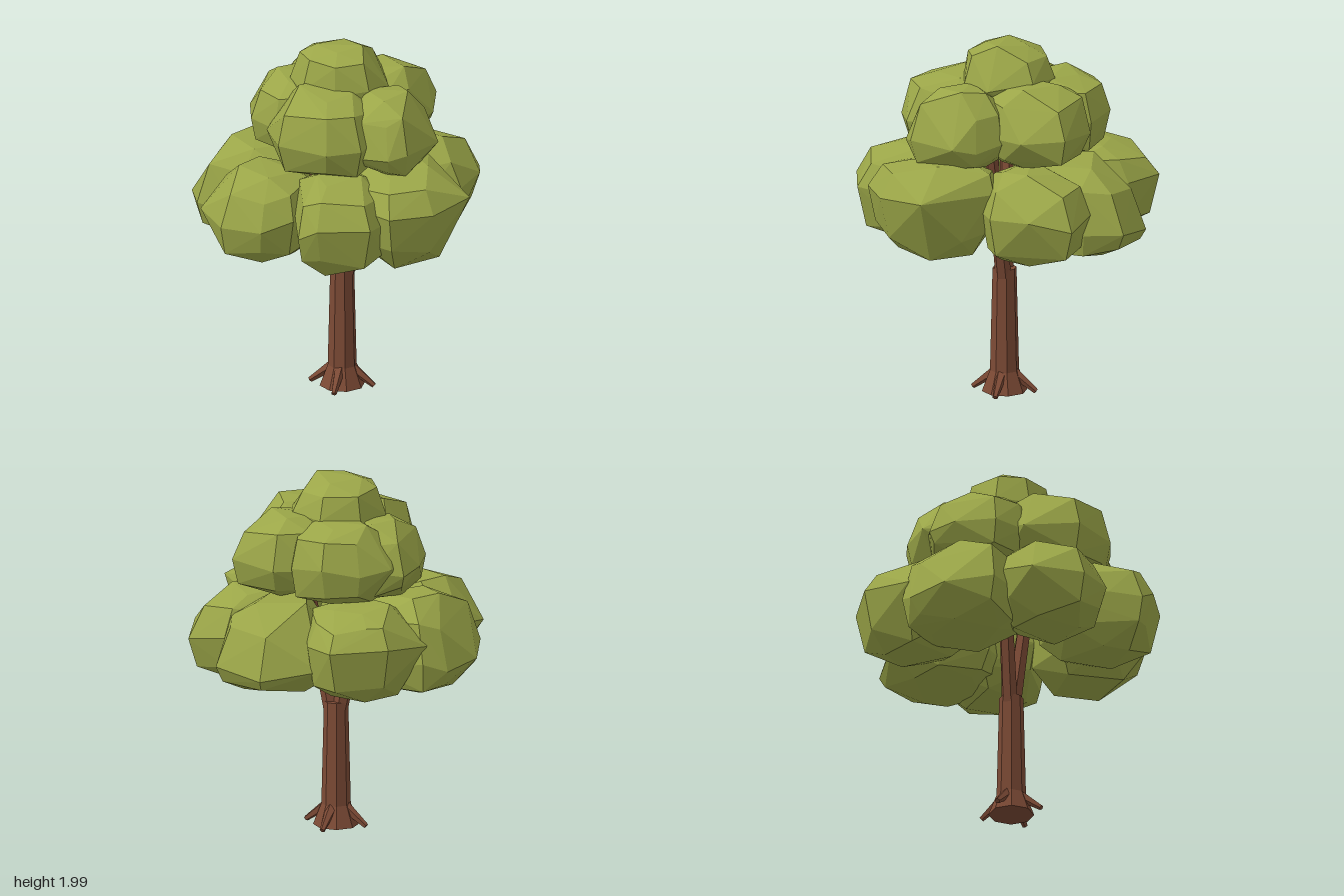
import * as THREE from 'three';
import { ConvexGeometry } from 'three/addons/geometries/ConvexGeometry.js';

// Seeded random number in -1..1
function makeRandom(seed) {
  let s = seed;
  return () => {
    s = (s * 16807) % 2147483647;
    return (s / 2147483647) * 2 - 1;
  };
}

// Faceted leaf clump: an outline in x,z swept from bottom to top through a domed profile.
// mid is the height of the widest ring; upper rings lean in towards the tree axis.
function leafClump(outline, bottom, mid, top, rand) {
  const cx = outline.reduce((a, p) => a + p[0], 0) / outline.length;
  const cz = outline.reduce((a, p) => a + p[1], 0) / outline.length;
  const rings = [ // height, scale, vertex step, lean
    [bottom, 0.58, 2, 0.04],
    [bottom + (mid - bottom) * 0.35, 0.87, 1, 0],
    [mid, 1, 1, 0],
    [mid + (top - mid) * 0.64, 0.84, 1, 0.05],
    [top, 0.48, 2, 0.13],
  ];
  const points = [];
  rings.forEach(([y, scale, step, lean], r) => {
    for (let i = r % 2; i < outline.length; i += step) {
      const s = r === 2 ? 1 : scale * (1 + 0.06 * rand());
      let dy = 0.03 * rand();
      if (r === 0) dy = Math.abs(dy) * 0.5;
      if (r === 4) dy = i === 0 ? 0 : -Math.abs(dy);
      points.push(new THREE.Vector3(
        cx * (1 - lean) + (outline[i][0] - cx) * s,
        y + dy,
        cz * (1 - lean) + (outline[i][1] - cz) * s));
    }
  });
  return new ConvexGeometry(points);
}

// Tapered straight limb between two points
function limb(a, b, ra, rb, sides, material, name) {
  const from = new THREE.Vector3(...a), to = new THREE.Vector3(...b);
  const dir = to.clone().sub(from);
  const mesh = new THREE.Mesh(
    new THREE.CylinderGeometry(rb, ra, dir.length(), sides), material);
  mesh.position.copy(from).add(to).multiplyScalar(0.5);
  mesh.quaternion.setFromUnitVectors(new THREE.Vector3(0, 1, 0), dir.normalize());
  mesh.name = name;
  return mesh;
}

export function createModel() {
  const tree = new THREE.Group();
  tree.name = 'tree';
  const bark = new THREE.MeshStandardMaterial({ color: 0x7c4a35, flatShading: true });
  bark.name = 'bark';
  const leaves = new THREE.MeshStandardMaterial({ color: 0x9ba648, flatShading: true });
  leaves.name = 'leaves';
  const tx = 0.035; // trunk axis

  // Trunk with flared foot
  const profile = [[0, 0.012], [0.125, 0.012], [0.08, 0.13], [0.066, 0.71], [0, 0.71]]
    .map(([r, y]) => new THREE.Vector2(r, y));
  const trunk = new THREE.Mesh(new THREE.LatheGeometry(profile, 8, Math.PI / 8), bark);
  trunk.position.x = tx;
  trunk.name = 'trunk';
  tree.add(trunk);

  // Forked branches
  tree.add(limb([0.012, 0.67, 0], [-0.16, 1.5, 0.03], 0.045, 0.035, 6, bark, 'leftFork'));
  tree.add(limb([0.062, 0.67, 0], [0.25, 1.5, 0.03], 0.045, 0.035, 6, bark, 'rightFork'));

  // Four roots
  const roots = new THREE.Group();
  roots.name = 'roots';
  for (let i = 0; i < 4; i++) {
    const a = i * Math.PI / 2 + 0.06;
    const c = Math.cos(a), s = Math.sin(a);
    roots.add(limb([tx + 0.05 * c, 0.12, 0.05 * s], [tx + 0.18 * c, 0.02, 0.18 * s],
      0.032, 0.015, 5, bark, 'root'));
  }
  tree.add(roots);

  // Foliage tiers: [bottom, widest, top, outline]
  const tiers = {
    lowerFoliage: [
      [0.9, 1.26, 1.42, [[0.8, 0.29], [0.65, 0.55], [0.43, 0.67], [0.22, 0.54], [0.12, 0.25], [0.3, -0.02], [0.54, -0.06], [0.64, 0.08]]],
      [0.9, 1.18, 1.42, [[-0.1, 0.62], [-0.05, 0.8], [0.06, 0.82], [0.34, 0.75], [0.4, 0.5], [0.3, 0.2], [0.05, 0.12], [-0.16, 0.36]]],
      [0.89, 1.14, 1.38, [[-0.67, 0.4], [-0.51, 0.64], [-0.28, 0.68], [-0.12, 0.58], [-0.04, 0.32], [-0.18, 0.06], [-0.5, 0.1], [-0.63, 0.22]]],
      [0.88, 1.06, 1.4, [[-0.81, -0.06], [-0.73, 0.2], [-0.5, 0.26], [-0.2, 0.22], [-0.1, -0.1], [-0.3, -0.36], [-0.62, -0.38], [-0.73, -0.29]]],
      [0.9, 1.2, 1.4, [[-0.63, -0.34], [-0.52, -0.64], [-0.42, -0.68], [-0.24, -0.8], [-0.06, -0.67], [0.06, -0.4], [-0.14, -0.12], [-0.45, -0.14]]],
      [0.9, 1.05, 1.4, [[-0.12, -0.64], [0.16, -0.82], [0.44, -0.76], [0.5, -0.55], [0.42, -0.3], [0.28, -0.14], [0.06, -0.14], [-0.08, -0.38]]],
      [0.89, 1.16, 1.4, [[0.74, -0.3], [0.69, -0.53], [0.46, -0.58], [0.22, -0.45], [0.12, -0.2], [0.28, 0.04], [0.52, 0.02], [0.68, -0.07]]],
    ],
    middleFoliage: [
      [1.37, 1.57, 1.82, [[-0.34, 0.22], [-0.22, 0.5], [0.06, 0.57], [0.24, 0.5], [0.3, 0.26], [0.2, 0], [-0.05, -0.06], [-0.28, 0.04]]],
      [1.38, 1.52, 1.81, [[0.6, 0.16], [0.48, 0.42], [0.38, 0.47], [0.2, 0.44], [0.1, 0.15], [0.22, -0.08], [0.43, -0.08], [0.54, 0.04]]],
      [1.38, 1.57, 1.82, [[0.5, -0.2], [0.47, -0.44], [0.2, -0.52], [0, -0.42], [-0.06, -0.16], [0.1, 0.06], [0.32, 0.06], [0.43, -0.06]]],
      [1.38, 1.58, 1.81, [[-0.42, -0.34], [-0.29, -0.48], [-0.1, -0.56], [0.1, -0.5], [0.18, -0.3], [0.08, -0.06], [-0.16, 0], [-0.4, -0.12]]],
      [1.38, 1.56, 1.8, [[-0.5, -0.12], [-0.45, 0.1], [-0.3, 0.2], [-0.06, 0.2], [0.02, -0.04], [-0.08, -0.28], [-0.3, -0.36], [-0.47, -0.28]]],
    ],
    crownFoliage: [
      [1.6, 1.8, 2.0, [[0.3, 0.03], [0.22, 0.18], [0.04, 0.23], [-0.15, 0.18], [-0.25, 0.02], [-0.18, -0.18], [0.02, -0.28], [0.21, -0.2]]],
    ],
  };
  const rand = makeRandom(4711);
  for (const [name, clumps] of Object.entries(tiers)) {
    const tier = new THREE.Group();
    tier.name = name;
    for (const [bottom, mid, top, outline] of clumps) {
      const clump = new THREE.Mesh(leafClump(outline, bottom, mid, top, rand), leaves);
      clump.name = 'leafClump';
      tier.add(clump);
    }
    tree.add(tier);
  }
  return tree;
}
